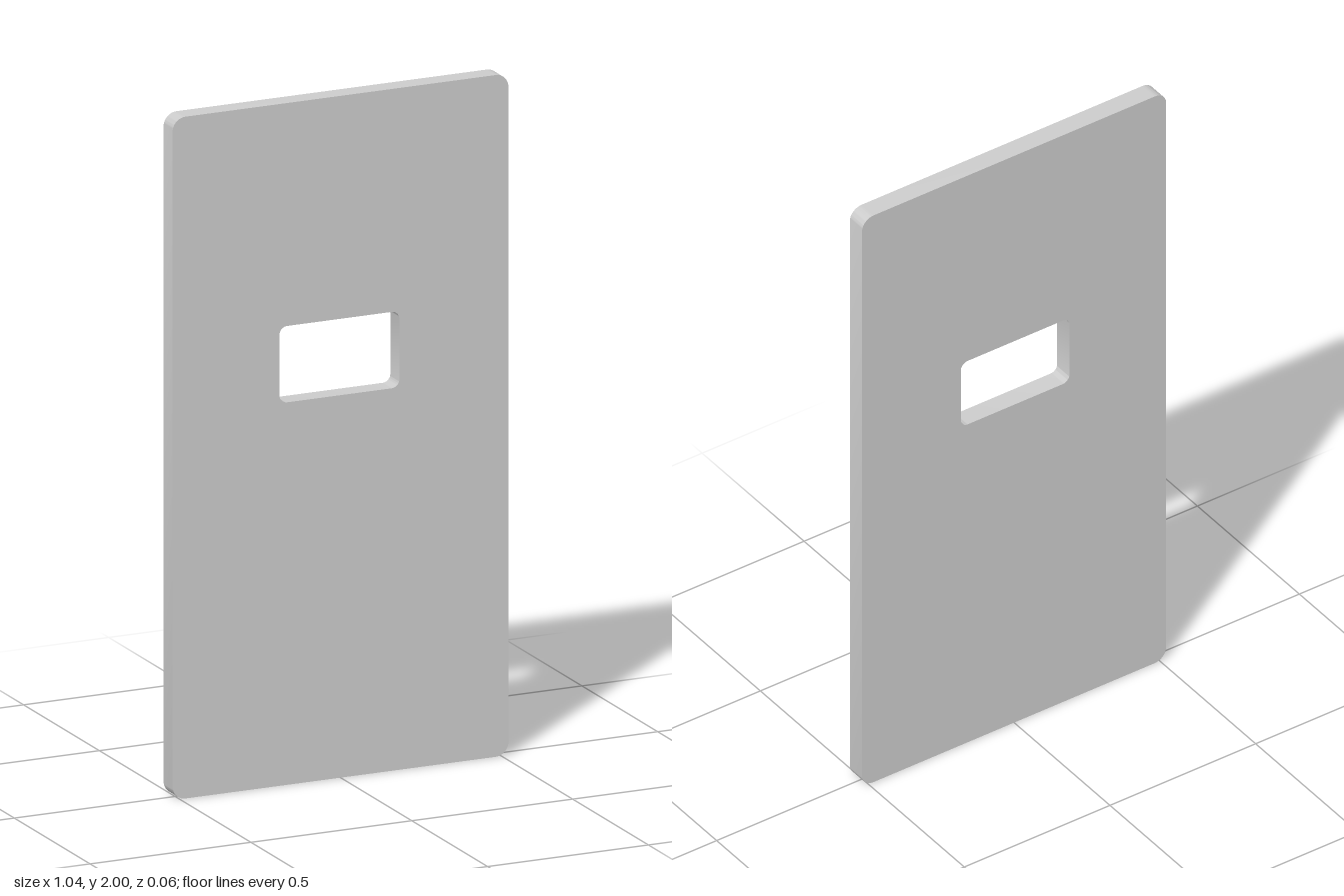
import * as THREE from 'three';
import { toCreasedNormals } from 'three/addons/utils/BufferGeometryUtils.js';

// Traces a rounded rectangle onto a Shape or Path
function roundedRect(path, x0, y0, x1, y1, r) {
  path.moveTo(x0 + r, y0);
  path.lineTo(x1 - r, y0);
  path.absarc(x1 - r, y0 + r, r, -Math.PI / 2, 0);
  path.lineTo(x1, y1 - r);
  path.absarc(x1 - r, y1 - r, r, 0, Math.PI / 2);
  path.lineTo(x0 + r, y1);
  path.absarc(x0 + r, y1 - r, r, Math.PI / 2, Math.PI);
  path.lineTo(x0, y0 + r);
  path.absarc(x0 + r, y0 + r, r, Math.PI, Math.PI * 1.5);
  return path;
}

export function createModel() {
  const group = new THREE.Group();
  group.name = 'slottedPlate';
  const depth = 0.06;

  // Flat plate with a rounded window above the middle
  const outline = roundedRect(new THREE.Shape(), -0.522, 0, 0.522, 2, 0.04);
  outline.holes.push(roundedRect(new THREE.Path(), -0.19, 1.122, 0.183, 1.346, 0.024));
  const geometry = new THREE.ExtrudeGeometry(outline, { depth, bevelEnabled: false, curveSegments: 10 });
  geometry.translate(0, 0, -depth / 2);

  // Smooth round corners, crisp face edges
  const plate = new THREE.Mesh(
    toCreasedNormals(geometry, Math.PI / 6),
    new THREE.MeshStandardMaterial({ color: 0xcccccc })
  );
  plate.name = 'plate';
  group.add(plate);
  return group;
}
